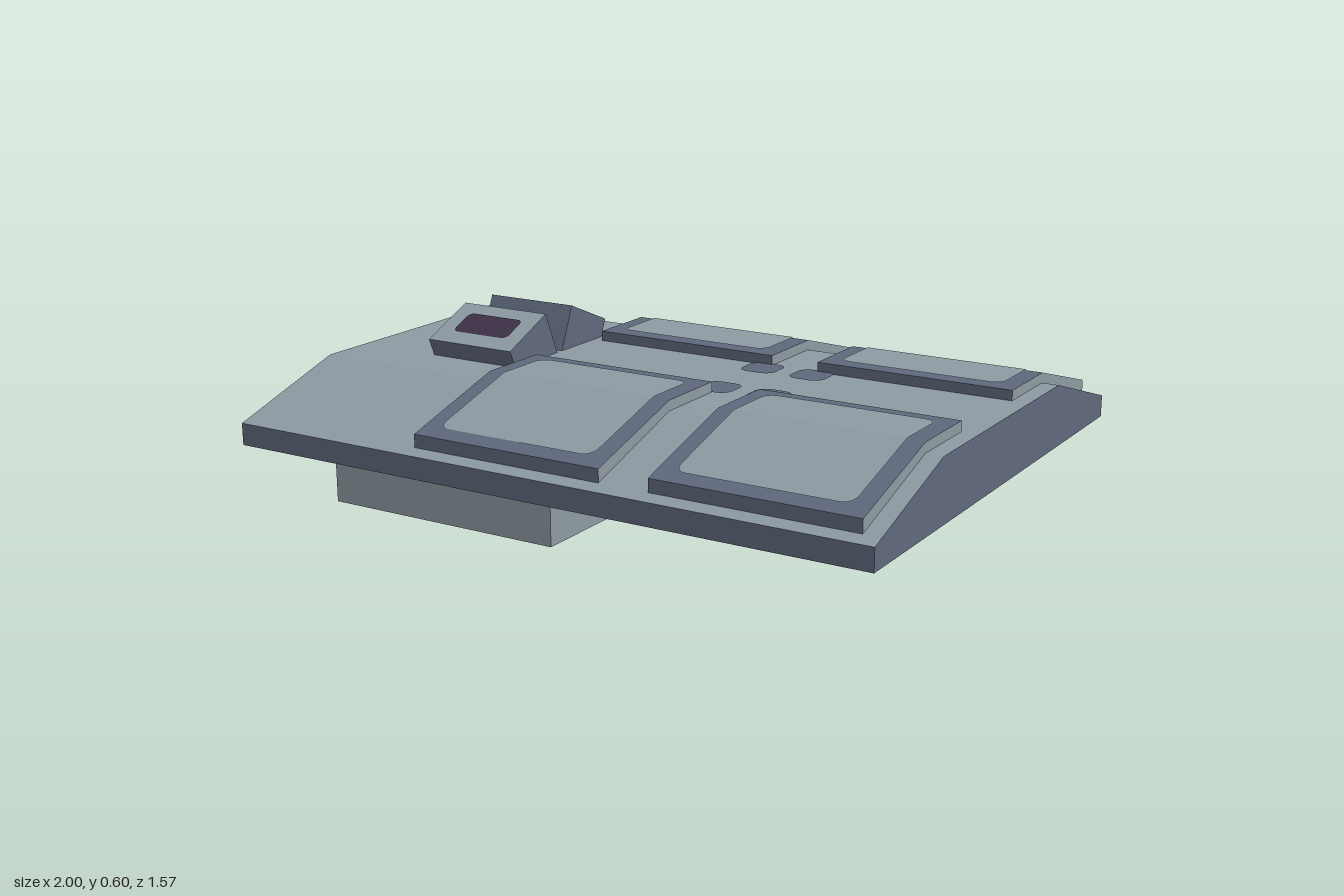
import * as THREE from 'three';

const mat = (name, color) => Object.assign(new THREE.MeshStandardMaterial({ color }), { name });

export function createModel() {
  const group = new THREE.Group();
  const grey = mat('panel grey', 0x8d9aa2);
  const blue = mat('slate blue', 0x5f687c);
  const purple = mat('dark purple', 0x3e3148);

  const add = (name, geometry, material) => {
    const mesh = new THREE.Mesh(geometry, material);
    mesh.name = name;
    group.add(mesh);
  };

  // Solid with a (z, y) cross-section between x0 and x1; isGrey picks the colour by face normal
  function prism(name, profile, x0, x1, isGrey) {
    const shape = new THREE.Shape(profile.map(([z, y]) => new THREE.Vector2(-z, y)));
    const geo = new THREE.ExtrudeGeometry(shape, { depth: x1 - x0, bevelEnabled: false });
    geo.rotateY(Math.PI / 2).translate(x0, 0, 0);
    geo.computeVertexNormals();
    geo.clearGroups();
    const n = geo.attributes.normal;
    for (let i = 0; i < n.count; i += 3) geo.addGroup(i, 3, isGrey(n.getX(i), n.getY(i)) ? 0 : 1);
    add(name, geo, [grey, blue]);
  }

  // Thin painted patch on the surface y = height(z); radii r0 at the low-z end, r1 at the high-z end
  function patch(name, x0, x1, z0, z1, r0, r1, height, material) {
    const s = new THREE.Shape();
    const a = -z1, b = -z0;
    s.moveTo(x0 + r1, a);
    s.lineTo(x1 - r1, a);
    if (r1) s.absarc(x1 - r1, a + r1, r1, -Math.PI / 2, 0, false);
    s.lineTo(x1, b - r0);
    if (r0) s.absarc(x1 - r0, b - r0, r0, 0, Math.PI / 2, false);
    s.lineTo(x0 + r0, b);
    if (r0) s.absarc(x0 + r0, b - r0, r0, Math.PI / 2, Math.PI, false);
    s.lineTo(x0, a + r1);
    if (r1) s.absarc(x0 + r1, a + r1, r1, Math.PI, Math.PI * 1.5, false);
    const geo = new THREE.ShapeGeometry(s, 6);
    const p = geo.attributes.position;
    for (let i = 0; i < p.count; i++) {
      const z = -p.getY(i);
      p.setXYZ(i, p.getX(i), height(z) + 0.003, z);
    }
    geo.computeVertexNormals();
    add(name, geo, material);
  }

  const facesUp = (nx, ny) => ny > 0.5;

  // Base block under one end
  prism('baseBlock', [[-0.4, 0], [0.4, 0], [0.4, 0.28], [-0.4, 0.28]], -1, -0.2, (nx, ny) => ny > -0.5);

  // Roof slab with sloped front and back
  prism('roofSlab', [[-0.784, 0.28], [0.784, 0.28], [0.784, 0.345], [0.4, 0.465], [-0.4, 0.465], [-0.784, 0.345]],
    -1, 1, facesUp);

  // Four bent panels with rounded inlays
  const panelTop = z => 0.495 - 0.1 * Math.max(0, Math.abs(z) - 0.4) / 0.346;
  for (const side of [1, -1]) {
    for (const x of [-0.4, 0.35]) {
      const profile = [[0.174, 0.46], [0.4, 0.46], [0.746, 0.352], [0.746, 0.395], [0.4, 0.495], [0.174, 0.495]];
      prism('panel', profile.map(([z, y]) => [z * side, y]), x, x + 0.6, nx => Math.abs(nx) > 0.5);
      const x0 = x + 0.05, x1 = x + 0.55, r = 0.035;
      if (side > 0) {
        patch('panelInlayFlat', x0, x1, 0.217, 0.4, r, 0, panelTop, grey);
        patch('panelInlaySlope', x0, x1, 0.4, 0.703, 0, r, panelTop, grey);
      } else {
        patch('panelInlayFlat', x0, x1, -0.4, -0.217, 0, r, panelTop, grey);
        patch('panelInlaySlope', x0, x1, -0.703, -0.4, r, 0, panelTop, grey);
      }
    }
    // Rounded marks between the panels
    const zm = 0.126 * side;
    for (const x of [0.14, 0.3]) {
      patch('roundedMark', x, x + 0.11, zm - 0.056, zm + 0.056, 0.035, 0.035, () => 0.465, blue);
    }
  }

  // Pair of tilted boxes, each with a dark window
  for (const side of [1, -1]) {
    const shift = 0.0125;
    const at = z => shift + side * z;
    prism('tiltedBox', [[0.01, 0.46], [0.225, 0.46], [0.25, 0.518], [0.068, 0.595]].map(([z, y]) => [at(z), y]),
      -0.73, -0.43, facesUp);
    const slope = z => 0.595 - (0.077 / 0.182) * (Math.abs(z - shift) - 0.068);
    const c = at(0.159);
    patch('boxWindow', -0.676, -0.48, c - 0.044, c + 0.044, 0.018, 0.018, slope, purple);
  }

  return group;
}
